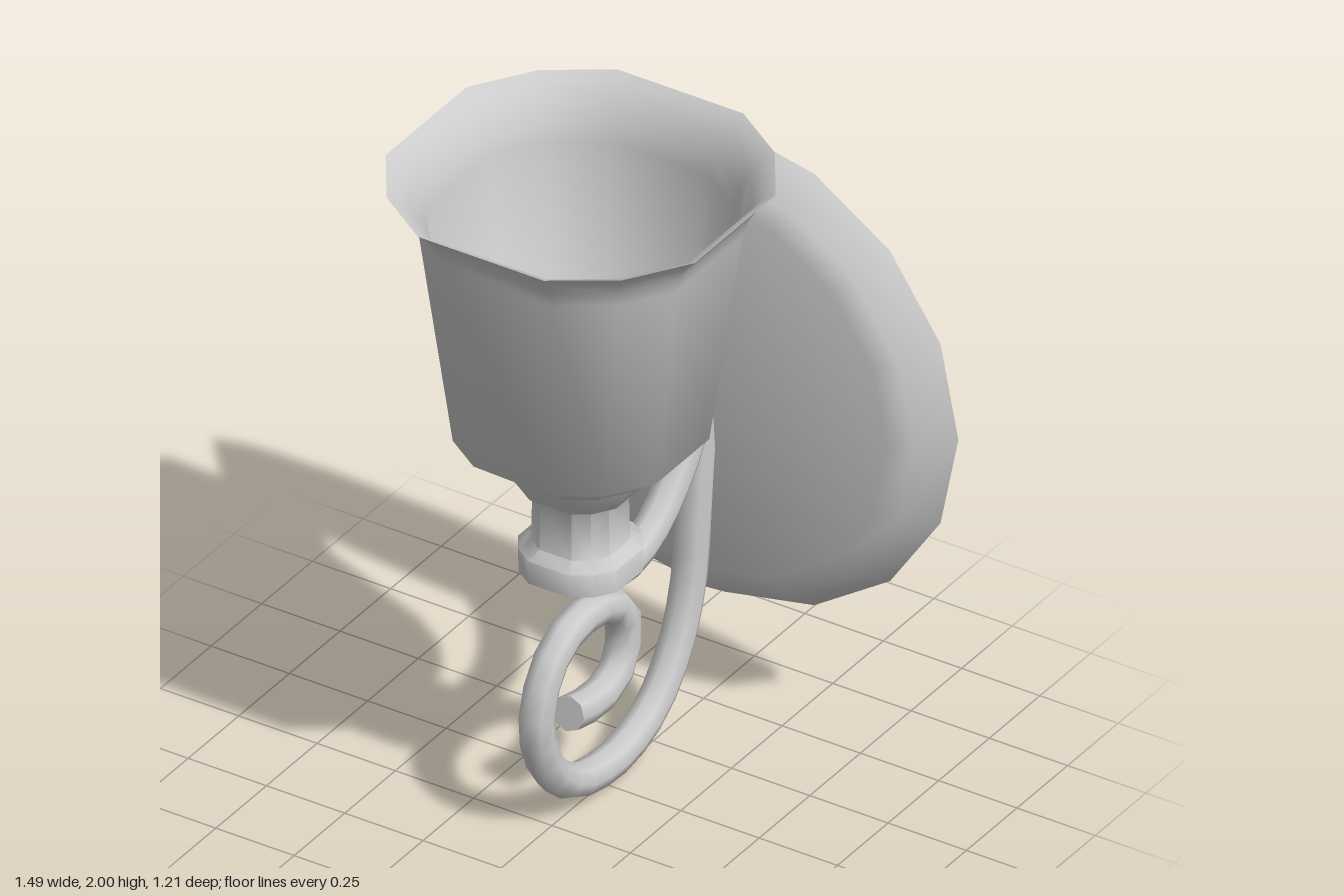
import * as THREE from 'three';
import { toCreasedNormals } from 'three/addons/utils/BufferGeometryUtils.js';

const material = new THREE.MeshStandardMaterial({ color: 0xcccccc, side: THREE.DoubleSide });
const LAMP_Z = 0.108;

function addMesh(parent, name, geometry) {
  const mesh = new THREE.Mesh(geometry, material);
  mesh.name = name;
  parent.add(mesh);
  return mesh;
}

const toPoints = (pairs) => pairs.map(([a, b]) => new THREE.Vector2(a, b));

// Turned shape with a softened-square, twelve-sided plan; the profile lists half-widths
function softSquareLathe(profile) {
  const geo = new THREE.LatheGeometry(
    toPoints(profile.map(([w, y]) => [w * 1.08, y])), 12, Math.PI / 12);
  const p = geo.attributes.position;
  for (let i = 0; i < p.count; i++) {
    const r = Math.hypot(p.getX(i), p.getZ(i));
    const a = Math.atan2(p.getZ(i), p.getX(i));
    const b = a + 0.143 * Math.sin(4 * a); // draw the corners together
    p.setXYZ(i, r * Math.cos(b), p.getY(i), r * Math.sin(b));
  }
  return toCreasedNormals(geo, 1.0);
}

// Bent rod in the x = 0 plane through [z, y] points, closed at both ends
function addRod(parent, name, path, segments) {
  const rod = new THREE.Group();
  rod.name = name;
  const curve = new THREE.CatmullRomCurve3(path.map(([z, y]) => new THREE.Vector3(0, y, z)));
  addMesh(rod, name + 'Tube', new THREE.TubeGeometry(curve, segments, 0.051, 8));
  for (const t of [0, 1]) {
    const cap = addMesh(rod, name + 'End', new THREE.CircleGeometry(0.051, 8));
    const dir = curve.getTangent(t).multiplyScalar(t ? 1 : -1);
    cap.position.copy(curve.getPoint(t));
    cap.quaternion.setFromUnitVectors(new THREE.Vector3(0, 0, 1), dir);
  }
  parent.add(rod);
}

export function createModel() {
  const lamp = new THREE.Group();
  lamp.name = 'wallLamp';

  // Open shade: outer wall up to the flared lip, then down the inside
  addMesh(lamp, 'shade', softSquareLathe([
    [0, 1.1], [0.2, 1.1], [0.325, 1.2], [0.41, 1.86], [0.425, 1.91], [0.455, 1.96], [0.493, 2],
    [0.465, 1.985], [0.43, 1.94], [0.405, 1.89], [0.39, 1.84], [0.31, 1.22], [0.19, 1.13], [0, 1.12],
  ])).position.z = LAMP_Z;

  // Holder below the shade
  addMesh(lamp, 'holder', softSquareLathe([
    [0, 0.76], [0.158, 0.76], [0.158, 0.83], [0.125, 0.855], [0.122, 1.0],
    [0.155, 1.025], [0.2, 1.1], [0, 1.1],
  ])).position.z = LAMP_Z;

  // Round wall plate with a bevelled rim
  const plate = new THREE.LatheGeometry(toPoints([
    [0, -0.605], [0.745, -0.605], [0.67, -0.5], [0.6, -0.477], [0, -0.477],
  ]), 16);
  plate.rotateX(Math.PI / 2);
  addMesh(lamp, 'wallPlate', toCreasedNormals(plate, 0.8)).position.y = 1.03;

  // Arm carrying the holder
  addRod(lamp, 'arm', [
    [0.15, 0.82], [0.07, 0.725], [0, 0.67], [-0.1, 0.645], [-0.2, 0.665],
    [-0.3, 0.73], [-0.38, 0.815], [-0.45, 0.925], [-0.52, 1.06],
  ], 14);

  // Spiral scroll beneath
  addRod(lamp, 'scroll', [
    [-0.49, 0.92], [-0.465, 0.75], [-0.445, 0.58], [-0.42, 0.4], [-0.355, 0.24], [-0.25, 0.12],
    [-0.12, 0.062], [0, 0.054], [0.15, 0.09], [0.265, 0.19], [0.325, 0.35], [0.295, 0.48],
    [0.22, 0.56], [0.11, 0.588], [0, 0.57], [-0.08, 0.515], [-0.108, 0.43], [-0.075, 0.335],
    [0, 0.295], [0.08, 0.295], [0.17, 0.315],
  ], 32);

  return lamp;
}
